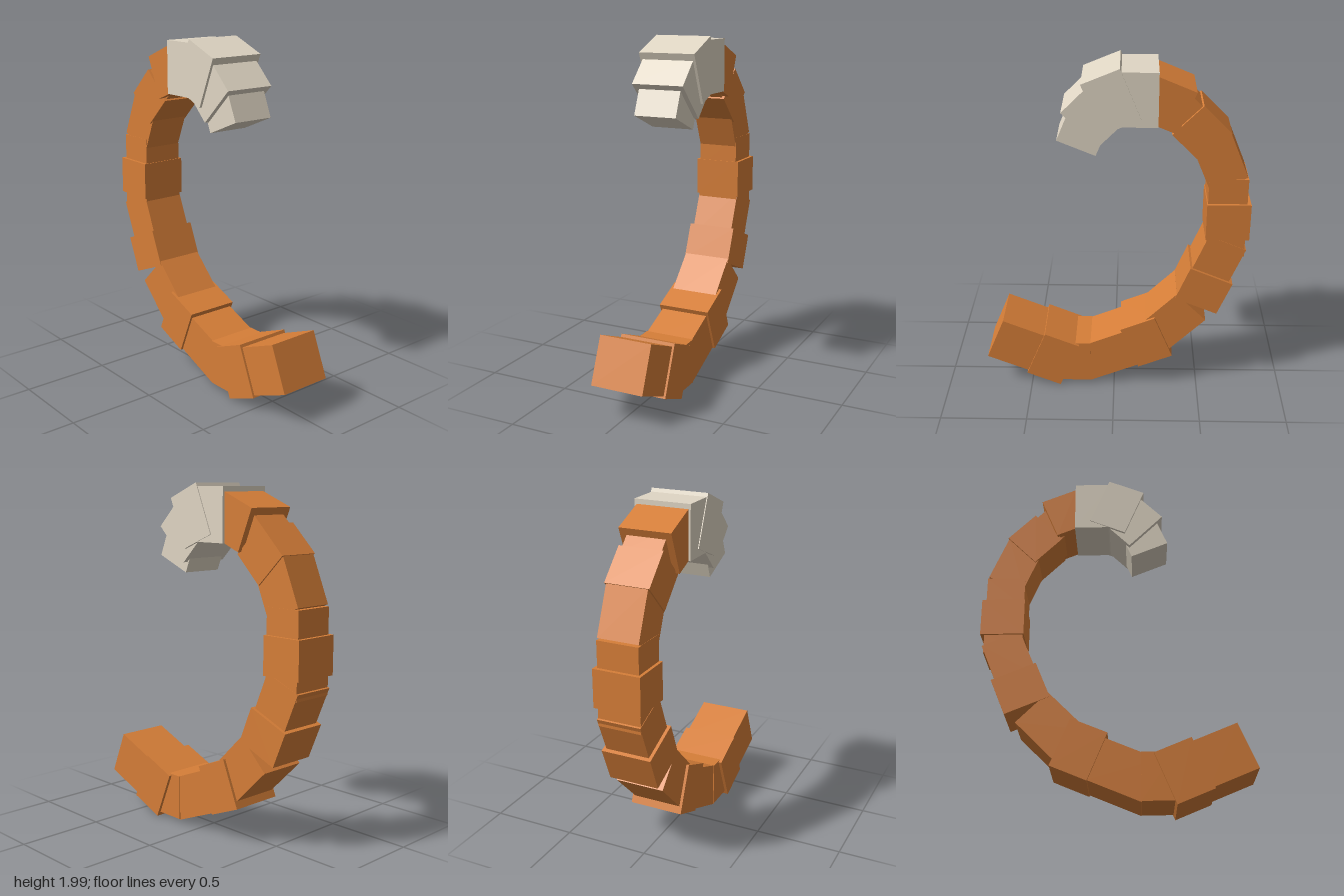
import * as THREE from 'three';

// Each segment: [z, y, length, thickness, width, turn in steps of 22.5 degrees]
const BODY = [
  [0.574, 0.27, 0.29, 0.272, 0.31, -1],
  [0.367, 0.187, 0.217, 0.303, 0.335, -1],
  [0.23, 0.162, 0.18, 0.265, 0.30, 0],
  [0.043, 0.20, 0.314, 0.25, 0.29, 1],
  [-0.192, 0.31, 0.217, 0.285, 0.317, 1],
  [-0.341, 0.444, 0.31, 0.245, 0.285, 2],
  [-0.518, 0.665, 0.217, 0.265, 0.292, 3],
  [-0.586, 0.84, 0.29, 0.23, 0.255, 3],
  [-0.629, 0.95, 0.12, 0.218, 0.25, 4],
  [-0.637, 1.108, 0.217, 0.245, 0.275, 4],
  [-0.629, 1.27, 0.19, 0.218, 0.24, 4],
  [-0.577, 1.463, 0.28, 0.22, 0.237, 5],
  [-0.47, 1.63, 0.22, 0.232, 0.255, 6],
  [-0.357, 1.743, 0.15, 0.21, 0.225, 6],
  [-0.286, 1.795, 0.215, 0.252, 0.30, 7],
];
const TIP = [
  [-0.132, 1.83, 0.205, 0.30, 0.325, 8],
  [0.015, 1.82, 0.222, 0.298, 0.335, 9],
  [0.114, 1.728, 0.20, 0.275, 0.305, 10],
  [0.167, 1.637, 0.20, 0.228, 0.25, 11],
];

// A row of overlapping boxes following the curl
function makeSegments(name, rows, material) {
  const group = new THREE.Group();
  group.name = name;
  rows.forEach(([z, y, length, thickness, width, turn], i) => {
    const mesh = new THREE.Mesh(new THREE.BoxGeometry(width, thickness, length), material);
    mesh.name = `${name}Segment${i + 1}`;
    mesh.position.set(0, y, z);
    mesh.rotation.x = turn * Math.PI / 8;
    group.add(mesh);
  });
  return group;
}

export function createModel() {
  const orange = new THREE.MeshStandardMaterial({ color: 0xd67e38 });
  orange.name = 'orange fur';
  const cream = new THREE.MeshStandardMaterial({ color: 0xe0d6c4 });
  cream.name = 'cream fur';

  const model = new THREE.Group();
  model.name = 'curledTail';
  model.add(makeSegments('tailBody', BODY, orange), makeSegments('tailTip', TIP, cream));
  return model;
}
